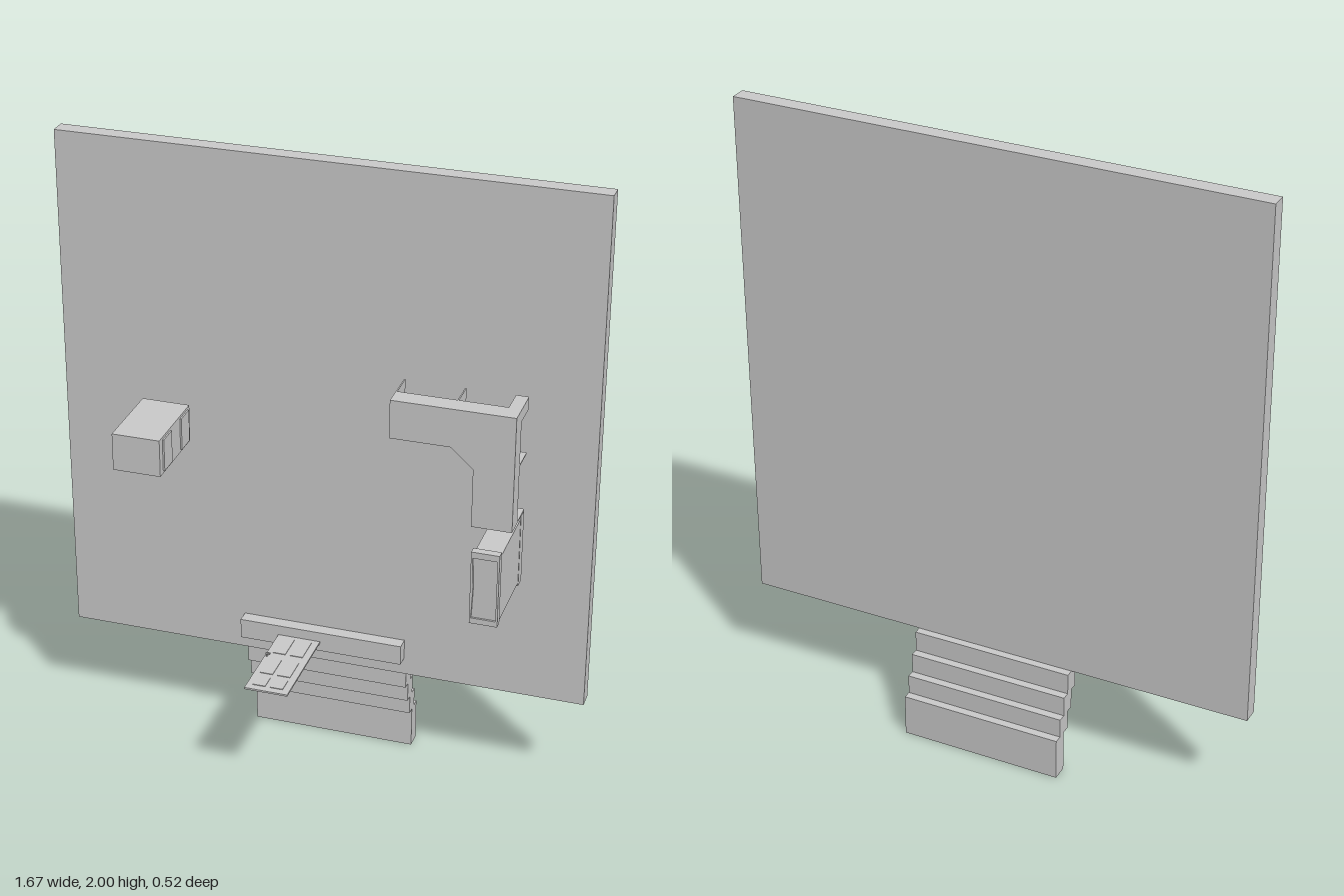
import * as THREE from 'three';

const mat = new THREE.MeshStandardMaterial({ color: 0xcccccc, flatShading: true });

// Box given by its limits on each axis
function box(parent, name, x0, x1, y0, y1, z0, z1) {
  const m = new THREE.Mesh(new THREE.BoxGeometry(x1 - x0, y1 - y0, z1 - z0), mat);
  m.position.set((x0 + x1) / 2, (y0 + y1) / 2, (z0 + z1) / 2);
  m.name = name;
  parent.add(m);
  return m;
}

// Outline in x/y extruded from z0 to z1, with an optional hole
function plate(parent, name, points, z0, z1, hole) {
  const toVectors = (list) => list.map(([x, y]) => new THREE.Vector2(x, y));
  const shape = new THREE.Shape(toVectors(points));
  if (hole) shape.holes.push(new THREE.Path(toVectors(hole)));
  const geo = new THREE.ExtrudeGeometry(shape, { depth: z1 - z0, bevelEnabled: false });
  geo.translate(0, 0, z0);
  const m = new THREE.Mesh(geo, mat);
  m.name = name;
  parent.add(m);
}

function group(parent, name) {
  const g = new THREE.Group();
  g.name = name;
  parent.add(g);
  return g;
}

export function createModel() {
  const model = new THREE.Group();
  model.name = 'roomPlan';

  // Floor slab and door sill
  box(model, 'floorSlab', -0.835, 0.835, 0.333, 2, -0.155, -0.103);
  box(model, 'doorSill', -0.262, 0.262, 0.39, 0.455, -0.103, -0.062);

  // Entrance steps, the lowest one deeper
  const stairs = group(model, 'stairs');
  const edges = [0.333, 0.265, 0.2, 0.137, 0];
  for (let i = 0; i < 4; i++) {
    const top = -0.128 - 0.026 * i;
    box(stairs, 'step', -0.262, 0.262, edges[i + 1], edges[i], top - 0.052, top);
  }

  // Door leaf with six raised panels on each side and a handle
  const door = group(model, 'door');
  box(door, 'doorLeaf', -0.137, 0, 0.417, 0.423, -0.062, 0.258);
  for (const [z0, z1] of [[-0.045, 0.045], [0.08, 0.165], [0.185, 0.235]]) {
    for (const x of [-0.098, -0.042]) {
      box(door, 'doorPanel', x - 0.02, x + 0.02, 0.415, 0.425, z0, z1);
    }
  }
  const spindle = new THREE.Mesh(new THREE.CylinderGeometry(0.003, 0.003, 0.03, 8), mat);
  spindle.position.set(-0.13, 0.42, 0.068);
  spindle.name = 'handleSpindle';
  door.add(spindle);
  for (const y of [0.406, 0.434]) {
    box(door, 'handleGrip', -0.133, -0.12, y - 0.002, y + 0.002, 0.065, 0.071);
  }

  // Filing cabinet with two drawers facing inward
  const cabinet = group(model, 'filingCabinet');
  box(cabinet, 'cabinetBody', -0.577, -0.426, 1.05, 1.17, -0.086, 0.165);
  for (const [z0, z1] of [[-0.07, -0.005], [0.075, 0.14]]) {
    box(cabinet, 'drawerFront', -0.427, -0.421, 1.058, 1.162, z0, z1);
  }

  // Corner desk: L-shaped top, thin support panels and a corner post
  const desk = group(model, 'cornerDesk');
  plate(desk, 'deskTop', [
    [0.25, 1.36], [0.25, 1.237], [0.435, 1.237], [0.503, 1.175],
    [0.503, 0.987], [0.626, 0.987], [0.626, 1.36],
  ], -0.002, 0.06);
  for (const x of [0.25, 0.435]) {
    box(desk, 'supportPanel', x, x + 0.004, 1.237, 1.36, -0.086, 0);
  }
  for (const y of [0.987, 1.175]) {
    box(desk, 'supportPanel', 0.503, 0.626, y, y + 0.004, -0.086, 0);
  }
  box(desk, 'cornerPost', 0.587, 0.626, 1.32, 1.36, -0.086, 0);

  // Sideboard: plinth, body and a rimmed top
  const sideboard = group(model, 'sideboard');
  box(sideboard, 'plinth', 0.541, 0.626, 0.747, 0.985, -0.086, -0.05);
  box(sideboard, 'sideboardBody', 0.546, 0.625, 0.757, 0.975, -0.05, 0.175);
  box(sideboard, 'sideboardTop', 0.541, 0.626, 0.747, 0.985, 0.175, 0.194);
  plate(sideboard, 'topRim',
    [[0.541, 0.747], [0.626, 0.747], [0.626, 0.985], [0.541, 0.985]], 0.194, 0.2,
    [[0.546, 0.765], [0.55, 0.866], [0.546, 0.965], [0.62, 0.965], [0.62, 0.765]]);

  return model;
}
